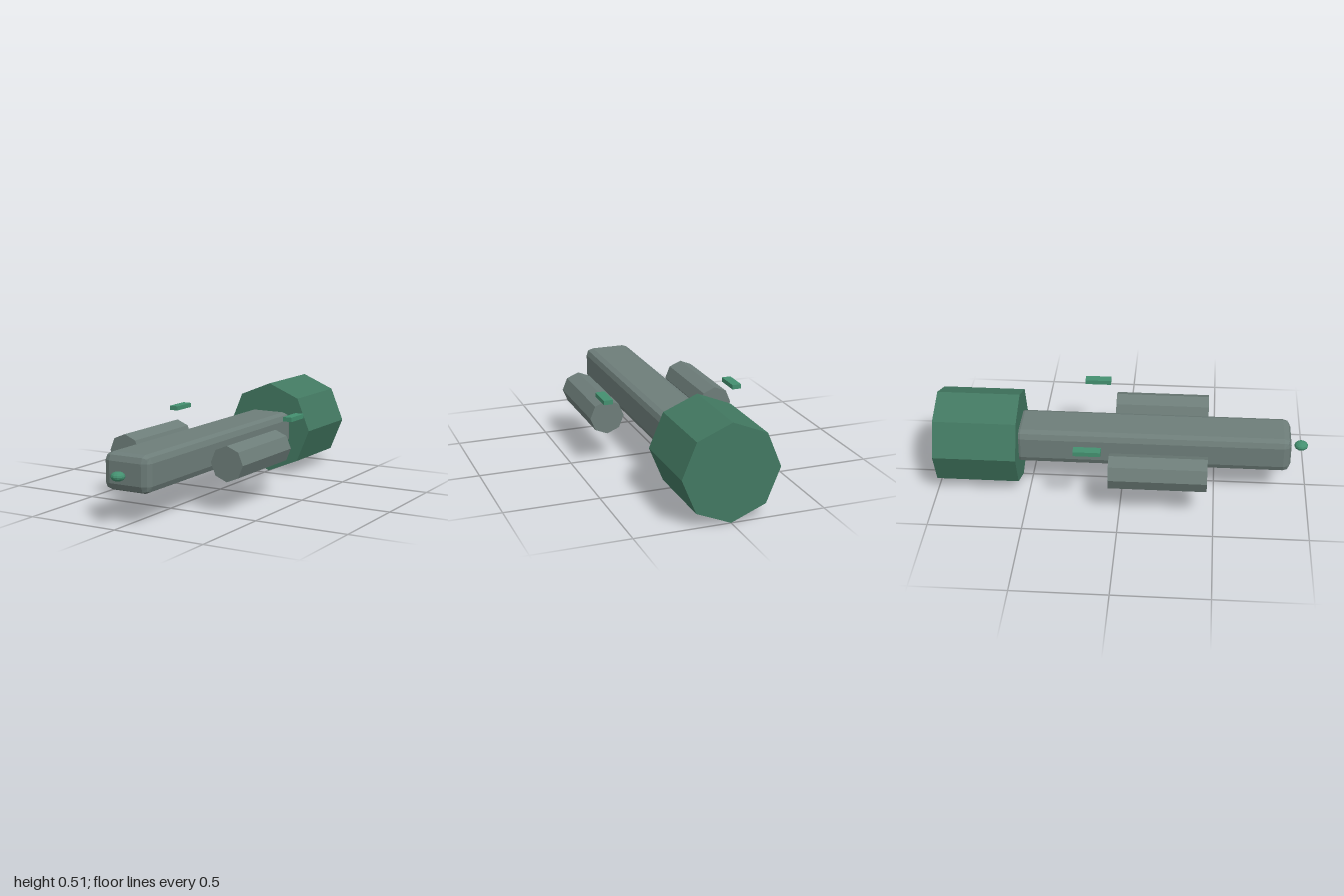
import * as THREE from 'three';
import { RoundedBoxGeometry } from 'three/addons/geometries/RoundedBoxGeometry.js';

const AXIS_Y = 0.258; // height of the long axis

const paint = (color) => new THREE.MeshStandardMaterial({ color, flatShading: true });

// Eight-sided drum lying along z, with a corner pointing straight up
function octagonalDrum(radius, length) {
  return new THREE.CylinderGeometry(radius, radius, length, 8).rotateX(Math.PI / 2);
}

export function createModel() {
  const model = new THREE.Group();
  const grey = paint(0x6d7d79);
  const darkGreen = paint(0x427861);
  const green = paint(0x449070);

  function add(name, geometry, material, x, y, z) {
    const mesh = new THREE.Mesh(geometry, material);
    mesh.name = name;
    mesh.position.set(x, y, z);
    model.add(mesh);
    return mesh;
  }

  // Long bevelled hull, its back end sunk into the rear drum
  add('hull', new RoundedBoxGeometry(0.266, 0.193, 1.488, 1, 0.04), grey, 0, AXIS_Y + 0.001, 0.16);

  // Large rear drum
  add('rearDrum', octagonalDrum(0.257, 0.445), darkGreen, 0, AXIS_Y, -0.7775);

  // Flattened nose bead, floating ahead of the hull
  const nose = add('noseBead', new THREE.SphereGeometry(0.037, 12, 8), green, 0, AXIS_Y, 0.963);
  nose.scale.y = 0.65;

  // Side pods and the small lights above and behind them
  for (const [side, s] of [['left', 1], ['right', -1]]) {
    add(side + 'Pod', octagonalDrum(0.093, 0.515), grey, s * 0.31, AXIS_Y + 0.001, 0.203);
    add(side + 'Light', new THREE.BoxGeometry(0.05, 0.024, 0.143), green, s * 0.36, 0.406, -0.163);
  }

  return model;
}
